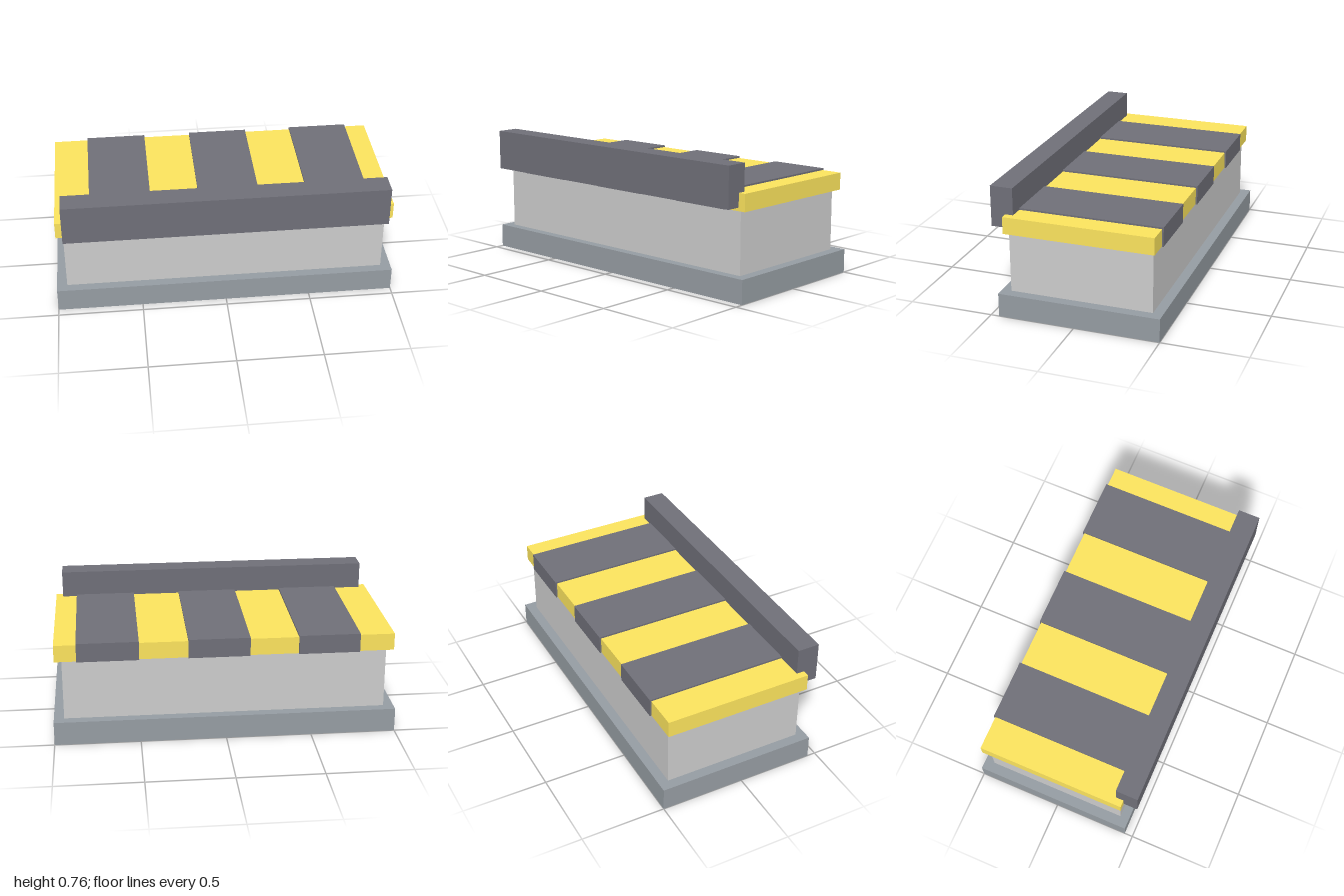
import * as THREE from 'three';

export function createModel() {
  const model = new THREE.Group();
  model.name = 'stripedBox';

  const grey = new THREE.MeshStandardMaterial({ color: 0xcccccc });
  const slate = new THREE.MeshStandardMaterial({ color: 0x959ca2 });
  const yellow = new THREE.MeshStandardMaterial({ color: 0xfbe35d });
  const dark = new THREE.MeshStandardMaterial({ color: 0x6f6f78 });

  // Box given by its extents along each axis
  function box(name, material, [x0, x1], [y0, y1], [z0, z1]) {
    const mesh = new THREE.Mesh(new THREE.BoxGeometry(x1 - x0, y1 - y0, z1 - z0), material);
    mesh.position.set((x0 + x1) / 2, (y0 + y1) / 2, (z0 + z1) / 2);
    mesh.name = name;
    model.add(mesh);
  }

  // Plinth and the body standing in it
  box('base', slate, [-1, 1], [0, 0.14], [-0.5, 0.45]);
  box('body', grey, [-0.94, 0.94], [0.01, 0.505], [-0.442, 0.396]);

  // Overhanging top slab
  box('topSlab', yellow, [-0.982, 0.982], [0.502, 0.602], [-0.462, 0.415]);

  // Dark stripes wrapped over the slab
  for (let i = 0; i < 3; i++) {
    const x = -0.78 + i * 0.639;
    box('stripe' + (i + 1), dark, [x, x + 0.357], [0.5, 0.612], [-0.471, 0.425]);
  }

  // Raised bar along the front edge
  box('frontBar', dark, [-0.94, 0.94], [0.522, 0.76], [0.368, 0.5]);

  return model;
}
